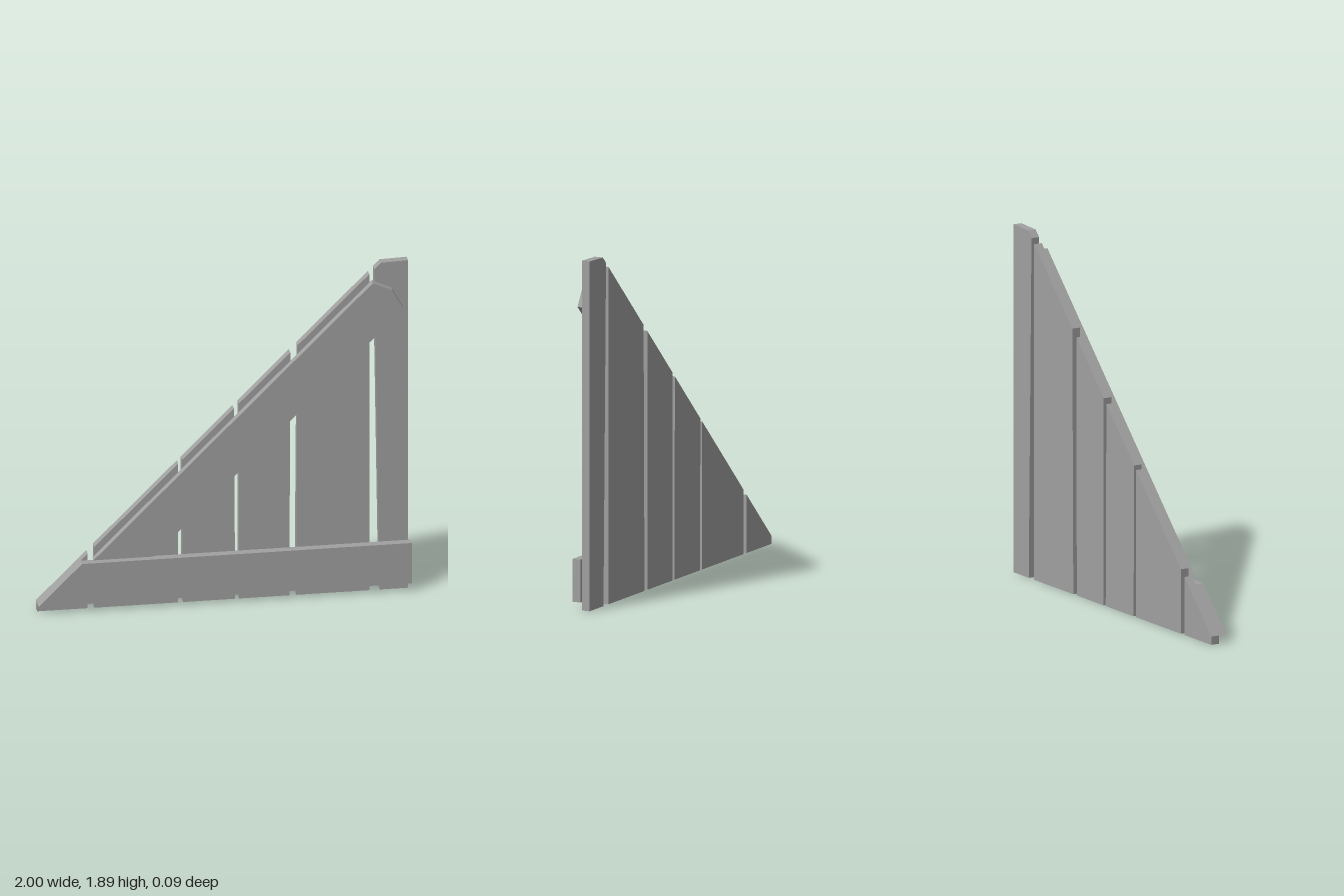
import * as THREE from 'three';

const grey = new THREE.MeshStandardMaterial({ color: 0xa0a0a0 });
grey.name = 'grey';

// Flat board cut from an outline, spanning z0..z1
function board(name, outline, z0, z1) {
  const shape = new THREE.Shape(outline.map(([x, y]) => new THREE.Vector2(x, y)));
  const geometry = new THREE.ExtrudeGeometry(shape, { depth: z1 - z0, bevelEnabled: false });
  geometry.translate(0, 0, z0);
  const mesh = new THREE.Mesh(geometry, grey);
  mesh.name = name;
  return mesh;
}

export function createModel() {
  const group = new THREE.Group();
  group.name = 'triangularPlankPanel';
  const slope = (x) => x + 1.045;

  // Upright planks: bottom left, bottom right, top left, top right x
  const planks = [
    [-1, -0.73, -1, -0.73],
    [-0.695, -0.245, -0.695, -0.245],
    [-0.22, 0.06, -0.225, 0.053],
    [0.08, 0.35, 0.08, 0.355],
    [0.385, 0.778, 0.395, 0.778],
  ];
  planks.forEach(([bl, br, tl, tr], i) => {
    group.add(board(`plank${i + 1}`,
      [[bl, 0], [br, 0], [tr, slope(tr)], [tl, slope(tl)]], -0.047, 0));
  });

  // Tall end plank with a clipped corner
  group.add(board('endPlank',
    [[0.833, 0], [0.985, 0], [0.985, 1.89], [0.84, 1.885], [0.805, 1.85]], -0.047, 0));

  // Horizontal rail with a mitred end
  group.add(board('bottomRail',
    [[-1, 0.045], [1, 0.045], [1, 0.277], [-0.768, 0.277]], 0, 0.047));

  // Diagonal brace with a chipped upper end
  group.add(board('diagonalBrace',
    [[-0.705, 0.292], [-0.385, 0.292], [0.955, 1.63], [0.895, 1.74], [0.79, 1.788]], 0, 0.042));

  return group;
}
